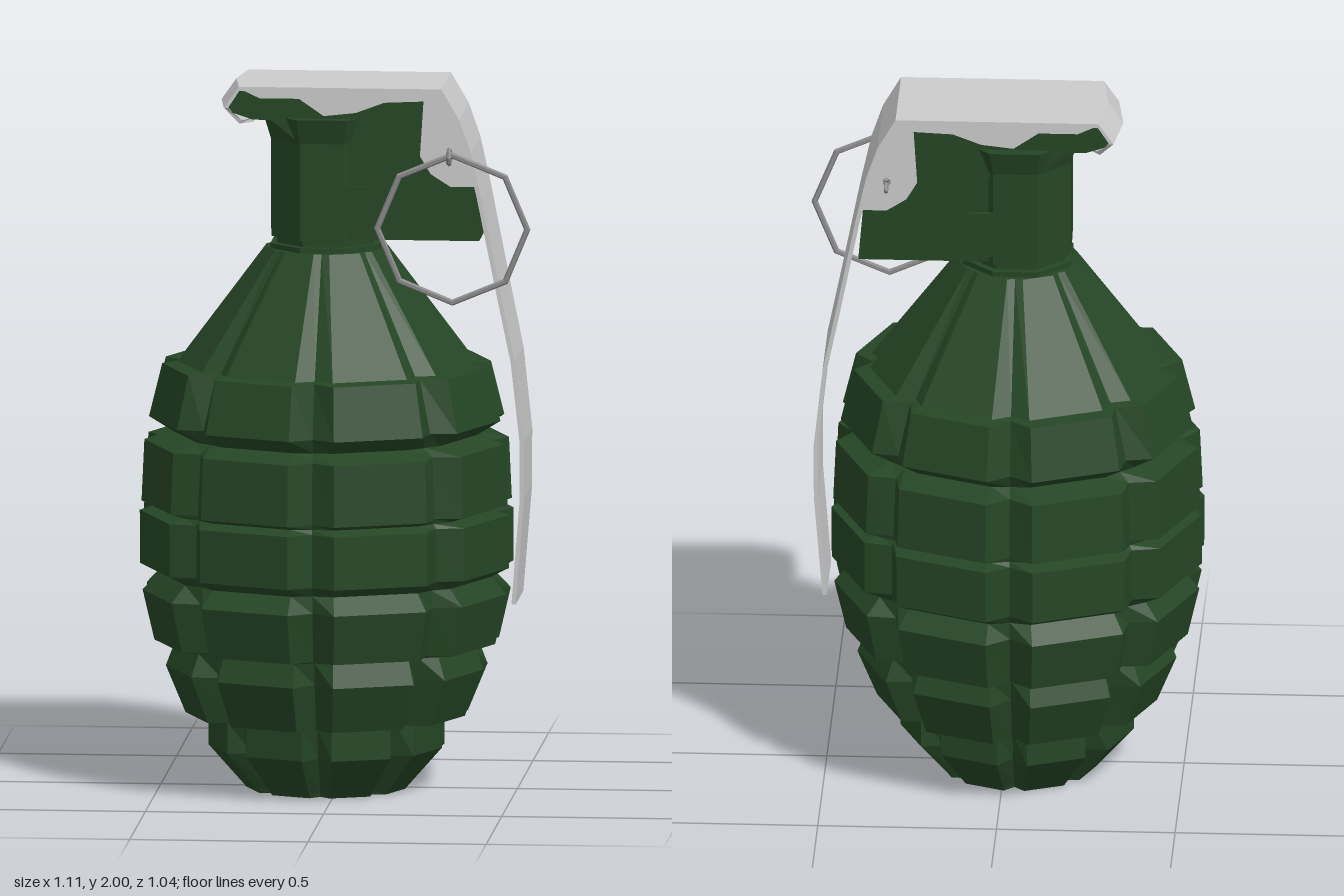
import * as THREE from 'three';

const material = (color) => new THREE.MeshStandardMaterial({ color, flatShading: true, side: THREE.DoubleSide });
const CX = -0.035; // body axis

// Joins equal-length loops of points into a closed skin with flat end caps.
function loft(loops) {
  const n = loops[0].length, index = [];
  for (let i = 0; i < loops.length - 1; i++) {
    for (let j = 0; j < n; j++) {
      const a = i * n + j, b = i * n + (j + 1) % n;
      index.push(a, b, a + n, b, b + n, a + n);
    }
  }
  const points = loops.flat();
  for (const [start, flip] of [[0, false], [(loops.length - 1) * n, true]]) {
    const c = new THREE.Vector3();
    for (let j = 0; j < n; j++) c.addScaledVector(points[start + j], 1 / n);
    const ci = points.push(c) - 1;
    for (let j = 0; j < n; j++) {
      const a = start + j, b = start + (j + 1) % n;
      index.push(ci, flip ? a : b, flip ? b : a);
    }
  }
  const g = new THREE.BufferGeometry().setFromPoints(points);
  g.setIndex(index);
  g.computeVertexNormals();
  return g;
}

// Eight raised columns; each level is height, raised radius, groove radius.
function bodyGeometry() {
  const levels = [
    [0, 0.225, 0.195], [0.012, 0.235, 0.2], [0.12, 0.33, 0.275], [0.21, 0.33, 0.3],
    [0.212, 0.395, 0.34], [0.345, 0.45, 0.385], [0.41, 0.425, 0.4],
    [0.418, 0.482, 0.43], [0.56, 0.515, 0.46], [0.608, 0.47, 0.455],
    [0.635, 0.522, 0.475], [0.785, 0.523, 0.475], [0.798, 0.475, 0.465],
    [0.812, 0.518, 0.47], [0.985, 0.51, 0.46], [1.008, 0.43, 0.425],
    [1.05, 0.497, 0.45], [1.2, 0.46, 0.405], [1.205, 0.415, 0.385], [1.53, 0.172, 0.165],
  ];
  const offset = THREE.MathUtils.degToRad(7.3);
  return loft(levels.map(([y, raised, groove]) => {
    const loop = [];
    for (let k = 0; k < 8; k++) {
      const a = -k * Math.PI / 4;
      for (const [angle, r] of [[a, groove], [a - offset, raised], [a - Math.PI / 4 + offset, raised]]) {
        loop.push(new THREE.Vector3(CX + r * Math.cos(angle), y, r * Math.sin(angle)));
      }
    }
    return loop;
  }));
}

// Bent strip; each station is x, y, half width, and bow of the middle.
function leverGeometry() {
  const path = [
    [-0.235, 1.888, 0.07, 0], [-0.27, 1.888, 0.11, -0.01], [-0.31, 1.94, 0.155, -0.02], [-0.268, 2, 0.155, -0.02],
    [0.3, 2, 0.155, 0], [0.35, 1.915, 0.155, 0], [0.383, 1.82, 0.154, 0], [0.412, 1.69, 0.151, 0],
    [0.47, 1.4, 0.144, 0], [0.505, 1.23, 0.14, 0], [0.53, 1.0, 0.134, 0], [0.53, 0.84, 0.13, 0], [0.506, 0.54, 0.122, 0],
  ];
  const thick = 0.012;
  return loft(path.map(([x, y, w, bow], i) => {
    const p = path[Math.max(i - 1, 0)], q = path[Math.min(i + 1, path.length - 1)];
    const len = Math.hypot(q[0] - p[0], q[1] - p[1]);
    const ix = x + (q[1] - p[1]) / len * thick, iy = y - (q[0] - p[0]) / len * thick;
    return [
      new THREE.Vector3(x, y, -w), new THREE.Vector3(x + bow, y, 0), new THREE.Vector3(x, y, w),
      new THREE.Vector3(ix, iy, w), new THREE.Vector3(ix + bow, iy, 0), new THREE.Vector3(ix, iy, -w),
    ];
  }));
}

// Side profile extruded along z, centred at zMid.
function plate(points, depth, zMid = 0) {
  const shape = new THREE.Shape(points.map(([x, y]) => new THREE.Vector2(x, y)));
  return new THREE.ExtrudeGeometry(shape, { depth, bevelEnabled: false }).translate(0, 0, zMid - depth / 2);
}

export function createModel() {
  const model = new THREE.Group();
  const green = material(0x254625), grey = material(0xcccccc), steel = material(0x8c8c8c);
  const add = (name, geometry, mat) => {
    const mesh = new THREE.Mesh(geometry, mat);
    mesh.name = name;
    model.add(mesh);
    return mesh;
  };

  add('body', bodyGeometry(), green);

  // Collar and neck: stacked rings on the body axis
  const rings = [
    ['lowerCollar', 0.165, 0.165, 1.525, 1.545], ['collarGroove', 0.145, 0.145, 1.54, 1.57],
    ['upperCollar', 0.162, 0.162, 1.565, 1.59], ['neck', 0.163, 0.163, 1.585, 1.84], ['neckFlare', 0.185, 0.163, 1.84, 1.91],
  ];
  for (const [name, top, bottom, y0, y1] of rings) {
    const g = new THREE.CylinderGeometry(top, bottom, y1 - y0, 8).rotateY(Math.PI / 8);
    add(name, g.translate(CX, (y0 + y1) / 2, 0), green);
  }

  // Fuse head with its arm reaching to the lever
  add('fuseHead', plate([
    [0.04, 1.57], [0.405, 1.57], [0.392, 1.72], [0.365, 1.82], [0.29, 1.975], [-0.26, 1.98],
    [-0.305, 1.945], [-0.29, 1.925], [-0.23, 1.905], [-0.18, 1.905], [-0.1, 1.84], [0.04, 1.82],
  ], 0.28), green);

  // Small raised blocks beside the neck
  for (const s of [1, -1]) {
    add('neckBlock', new THREE.BoxGeometry(0.075, 0.13, 0.02).translate(0.055, 1.655, s * 0.142), green);
  }

  // Safety lever and its side flanges
  add('lever', leverGeometry(), grey);
  for (const s of [1, -1]) {
    add('leverFlange', plate([
      [-0.268, 1.995], [-0.21, 1.968], [-0.1, 1.968], [-0.03, 1.92], [0.06, 1.93], [0.14, 1.96], [0.25, 1.965],
      [0.24, 1.81], [0.27, 1.76], [0.325, 1.725], [0.4, 1.725], [0.38, 1.82], [0.347, 1.915], [0.298, 1.995],
    ], 0.01, s * 0.149), grey);
  }

  // Cotter pin: shaft, eye and two spread tips
  add('pinShaft', new THREE.CylinderGeometry(0.012, 0.012, 0.33, 6).rotateX(Math.PI / 2).translate(0.325, 1.812, 0.01), steel);
  add('pinEye', new THREE.TorusGeometry(0.02, 0.007, 5, 8).rotateY(Math.PI / 2).translate(0.325, 1.815, 0.19), steel);
  for (const s of [1, -1]) {
    const tip = add('pinTip', new THREE.CylinderGeometry(0.006, 0.006, 0.04, 5).rotateX(Math.PI / 2), steel);
    tip.position.set(0.325, 1.812 + s * 0.01, -0.165);
    tip.rotation.x = s * 0.5;
  }

  // Pull ring, hanging slightly inward
  const ring = add('pullRing', new THREE.TorusGeometry(0.21, 0.009, 6, 8), steel);
  ring.position.set(0.333, 1.61, 0.18);
  ring.rotation.set(0.04, 0.03, 0);

  return model;
}
